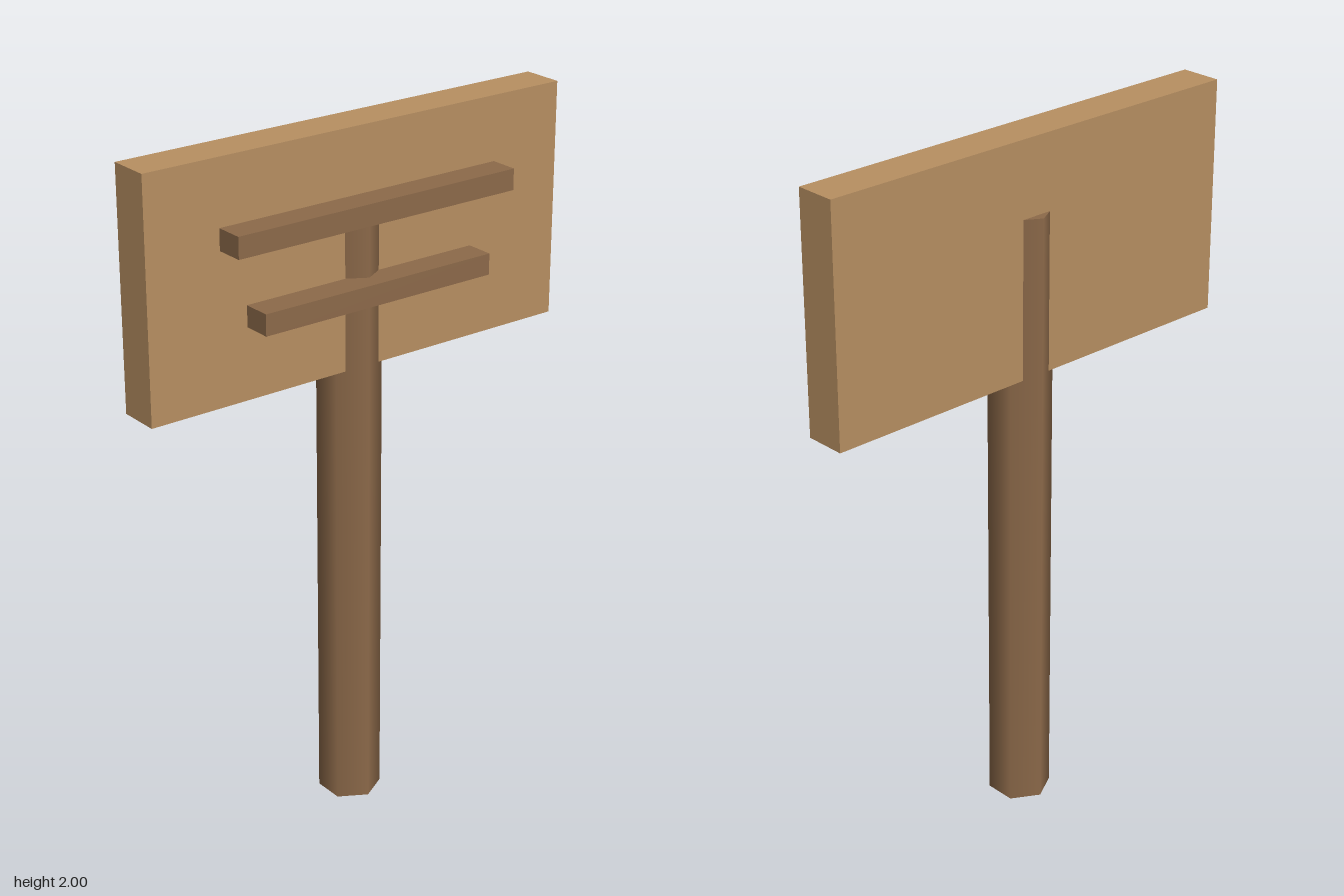
import * as THREE from 'three';

export function createModel() {
  const model = new THREE.Group();
  model.name = 'signpost';

  const lightWood = new THREE.MeshStandardMaterial({ name: 'lightWood', color: 0xb89062 });
  const darkWood = new THREE.MeshStandardMaterial({ name: 'darkWood', color: 0x8d6a4a });

  const add = (name, geometry, material, x, y, z) => {
    const mesh = new THREE.Mesh(geometry, material);
    mesh.name = name;
    mesh.position.set(x, y, z);
    model.add(mesh);
  };

  // Six-sided post with smooth sides, corners pointing front and back
  const postHeight = 1.785;
  add('post', new THREE.CylinderGeometry(0.089, 0.089, postHeight, 6), darkWood, 0, postHeight / 2, -0.025);

  // Sign board, which the post runs through
  add('board', new THREE.BoxGeometry(1.334, 0.667, 0.119), lightWood, 0, 1.6665, -0.0275);

  // Raised bars on the front of the board
  const bars = [
    ['upperBar', 0.894, 1.787],
    ['lowerBar', 0.737, 1.565],
  ];
  for (const [name, width, y] of bars) {
    add(name, new THREE.BoxGeometry(width, 0.06, 0.089), darkWood, 0, y, 0.0695);
  }

  return model;
}
